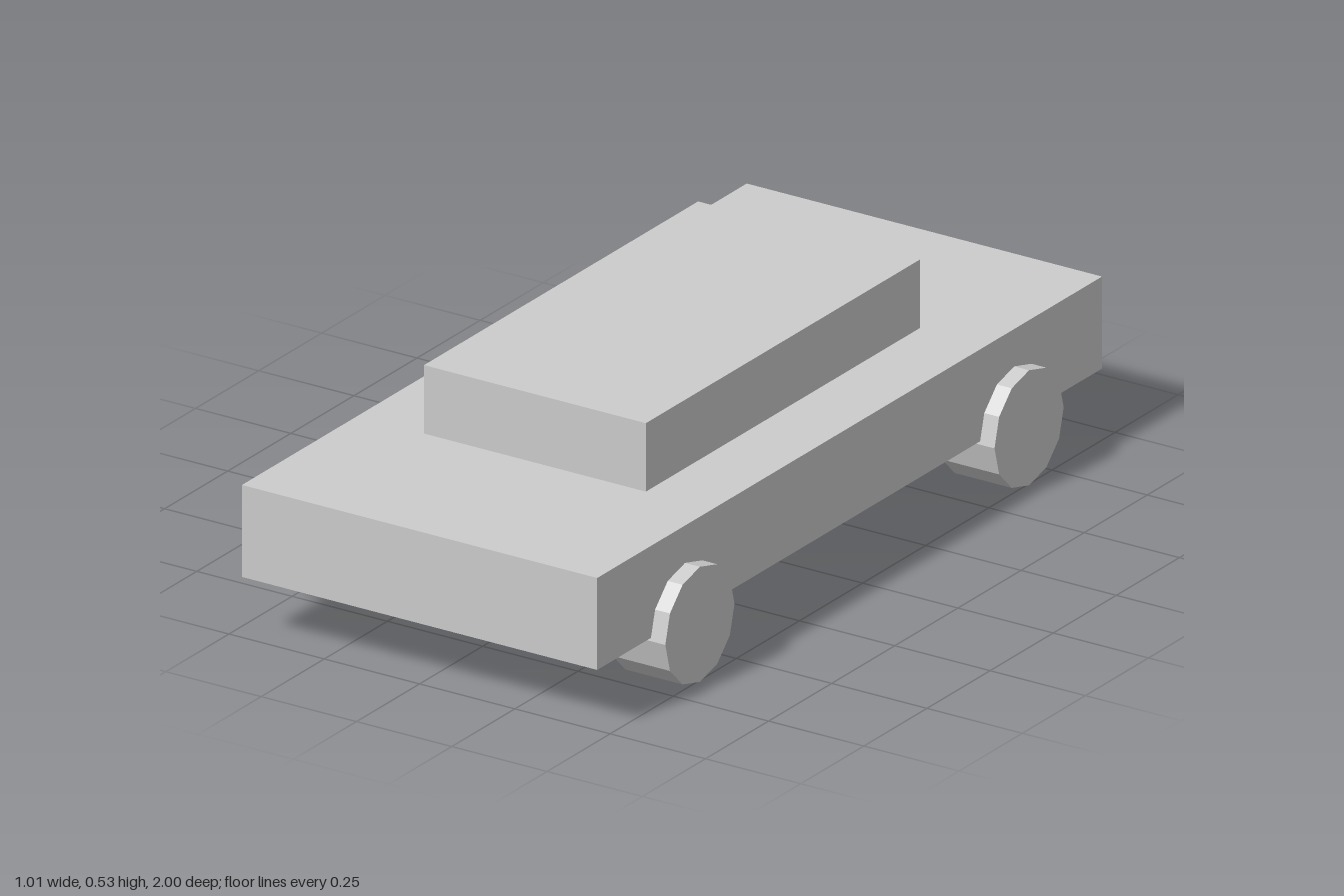
import * as THREE from 'three';

export function createModel() {
  const model = new THREE.Group();
  model.name = 'car';
  const material = new THREE.MeshStandardMaterial({ color: 0xcccccc, flatShading: true });

  const add = (name, geometry, x, y, z) => {
    const mesh = new THREE.Mesh(geometry, material);
    mesh.name = name;
    mesh.position.set(x, y, z);
    model.add(mesh);
  };

  // Body slab and cabin block resting on it
  add('body', new THREE.BoxGeometry(0.932, 0.219, 2), 0, 0.2535, 0);
  add('cabin', new THREE.BoxGeometry(0.582, 0.163, 1.086), 0, 0.4445, 0);

  // Four twelve-sided wheels, axles along x
  const radius = 0.137;
  const wheel = new THREE.CylinderGeometry(radius, radius, 0.15, 12).rotateZ(Math.PI / 2);
  for (const [end, z] of [['front', 0.652], ['back', -0.652]]) {
    for (const [side, x] of [['Left', 0.43], ['Right', -0.43]]) {
      add(`${end}${side}Wheel`, wheel, x, radius, z);
    }
  }

  return model;
}
